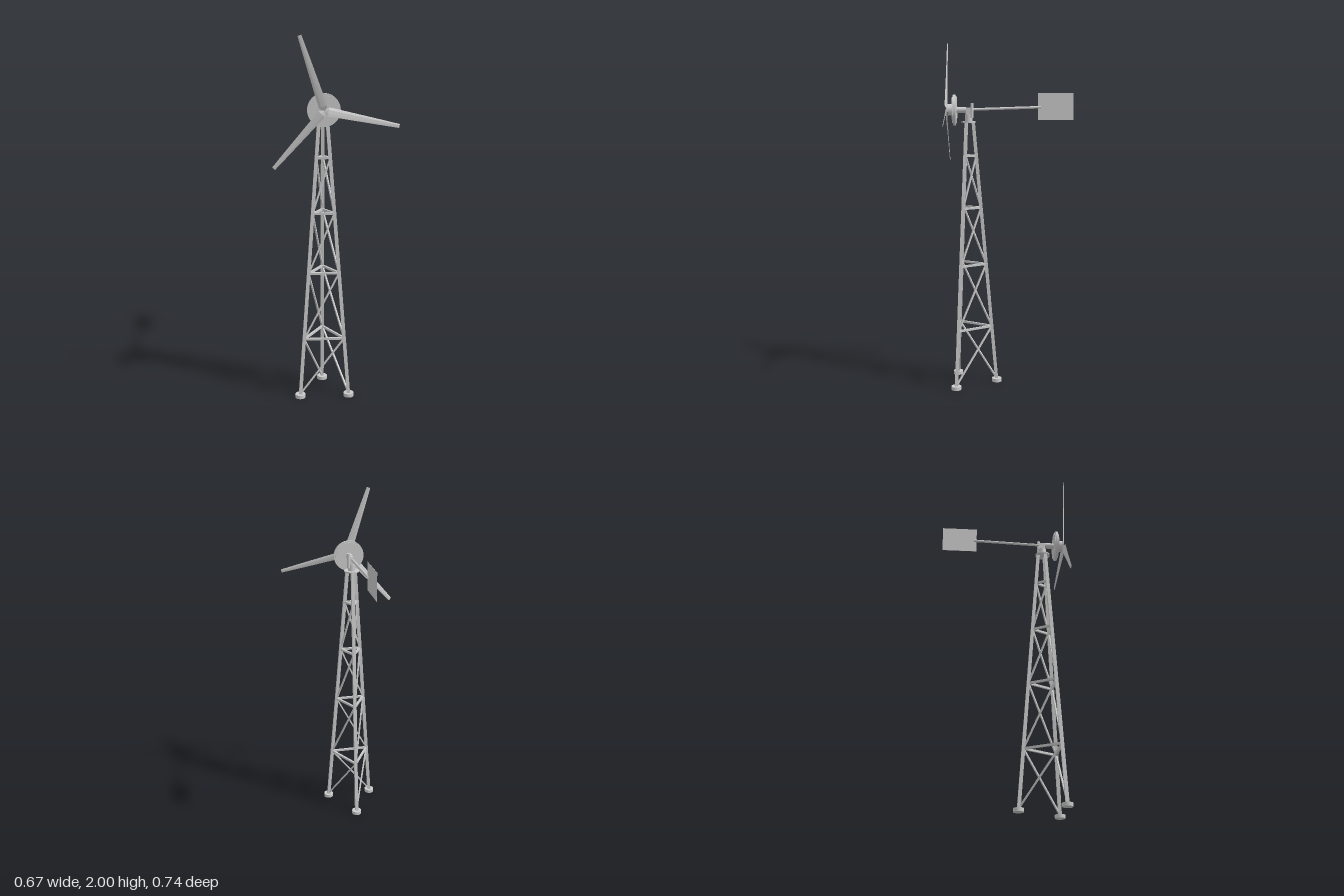
import * as THREE from 'three';

const CX = -0.061, CZ = 0.232, HUB_Y = 1.62;

export function createModel() {
  const model = new THREE.Group();
  model.name = 'windTurbine';
  const mat = new THREE.MeshStandardMaterial({ color: 0xcccccc, flatShading: true });
  const smooth = new THREE.MeshStandardMaterial({ color: 0xcccccc });
  const V = (x, y, z) => new THREE.Vector3(x, y, z);

  const add = (name, geo, x, y, z, parent = model, material = mat) => {
    const m = new THREE.Mesh(geo, material);
    m.name = name;
    m.position.set(x, y, z);
    parent.add(m);
    return m;
  };
  // square bar between two points
  const bar = (name, a, b, size, parent, up = V(0, 1, 0)) => {
    const m = add(name, new THREE.BoxGeometry(size, size, a.distanceTo(b)), 0, 0, 0, parent);
    m.up.copy(up);
    m.position.copy(a).add(b).multiplyScalar(0.5);
    m.lookAt(b);
  };
  // round part lying along z, from z0 to z1
  const drum = (name, r, z0, z1, parent) => {
    const g = new THREE.CylinderGeometry(r, r, z1 - z0, 40).rotateX(Math.PI / 2);
    add(name, g, CX, HUB_Y, (z0 + z1) / 2, parent, smooth);
  };

  // lattice tower on three legs
  const tower = new THREE.Group();
  tower.name = 'tower';
  model.add(tower);
  const TOP = 1.555, R0 = 0.158, R1 = 0.026;
  const angles = [30, 150, 270].map(THREE.MathUtils.degToRad);
  const legAt = (i, y) => {
    const r = R0 + (R1 - R0) * y / TOP, a = angles[i % 3];
    return V(CX + r * Math.cos(a), y, CZ + r * Math.sin(a));
  };
  const levels = [0.02, 0.342, 0.72, 1.055, 1.358];
  for (let i = 0; i < 3; i++) {
    const foot = legAt(i, 0);
    add('foot', new THREE.CylinderGeometry(0.029, 0.029, 0.02, 24), foot.x, 0.01, foot.z, tower, smooth);
    bar('leg', legAt(i, 0.01), legAt(i, TOP), 0.019, tower, V(0, 0, 1));
    levels.forEach((y, k) => {
      if (k > 0) bar('ringBar', legAt(i, y), legAt(i + 1, y), 0.012, tower);
      // one diagonal per face and panel, all climbing the same way round
      if (k < levels.length - 1) bar('diagonalBrace', legAt(i + 1, y), legAt(i, levels[k + 1]), 0.009, tower);
    });
  }
  add('topPlate', new THREE.CylinderGeometry(0.043, 0.043, 0.007, 32), CX, 1.551, CZ, model, smooth);

  // yaw head and generator
  const head = new THREE.Group();
  head.name = 'head';
  model.add(head);
  add('yawTube', new THREE.CylinderGeometry(0.021, 0.021, 0.04, 24), CX, 1.573, CZ, head, smooth);
  add('bracket', new THREE.BoxGeometry(0.016, 0.045, 0.036), CX, 1.612, CZ - 0.002, head);
  add('hingePost', new THREE.CylinderGeometry(0.009, 0.009, 0.085, 16), CX + 0.022, 1.617, 0.212, head, smooth);
  add('hingeLug', new THREE.BoxGeometry(0.024, 0.03, 0.012), CX + 0.011, 1.615, 0.212, head);
  drum('shaftHousing', 0.017, 0.247, 0.3, head);
  drum('rearMagnetDisc', 0.079, 0.3, 0.304, head);
  drum('stator', 0.088, 0.306, 0.32, head);
  drum('frontMagnetDisc', 0.074, 0.322, 0.326, head);
  drum('generatorCore', 0.03, 0.302, 0.328, head);
  drum('hub', 0.033, 0.326, 0.352, head);

  // three tapered blades: lens sections at [radius, chord, pitch, thickness], rear edge kept in one plane
  const sections = [
    [0.0, 0.008, 0.3, 0.004], [0.022, 0.048, 0.3, 0.006], [0.1, 0.043, 0.27, 0.005],
    [0.2, 0.036, 0.23, 0.004], [0.3, 0.029, 0.2, 0.004], [0.4, 0.021, 0.17, 0.003],
  ];
  const outline = [[-0.5, 0], [-0.2, 0.5], [0.2, 0.35], [0.5, 0], [0.2, -0.35], [-0.2, -0.5]];
  const pos = [], idx = [], n = outline.length;
  sections.forEach(([r, chord, pitch, t], s) => {
    const c = Math.cos(pitch), q = Math.sin(pitch);
    for (const [u, v] of outline) {
      const x = u * chord, z = v * t;
      pos.push(x * c - z * q, r, (x + chord / 2) * q + z * c);
    }
    if (s === 0) return;
    for (let j = 0; j < n; j++) {
      const a = (s - 1) * n + j, b = (s - 1) * n + (j + 1) % n;
      idx.push(a, b, a + n, b, b + n, a + n);
    }
  });
  const end = (sections.length - 1) * n;
  for (let j = 1; j < n - 1; j++) idx.push(end, end + j, end + j + 1, 0, j + 1, j);
  const bladeGeo = new THREE.BufferGeometry();
  bladeGeo.setAttribute('position', new THREE.Float32BufferAttribute(pos, 3));
  bladeGeo.setIndex(idx);
  bladeGeo.computeVertexNormals();
  const bladeMat = new THREE.MeshStandardMaterial({ color: 0xcccccc, side: THREE.DoubleSide, flatShading: true });
  const rotor = new THREE.Group();
  rotor.name = 'rotor';
  rotor.position.set(CX, HUB_Y, 0.354);
  model.add(rotor);
  for (let i = 0; i < 3; i++) {
    const blade = add('blade', bladeGeo, 0, 0, 0, rotor, bladeMat);
    blade.rotation.z = THREE.MathUtils.degToRad(18.3 + i * 120);
  }

  // tail boom and vane
  const a = V(CX, 1.622, 0.212), b = V(CX, 1.635, -0.183);
  const boom = add('tailBoom', new THREE.CylinderGeometry(0.0075, 0.0075, a.distanceTo(b), 16), 0, 0, 0, model, smooth);
  boom.position.copy(a).add(b).multiplyScalar(0.5);
  boom.quaternion.setFromUnitVectors(V(0, 1, 0), b.clone().sub(a).normalize());
  add('tailVane', new THREE.BoxGeometry(0.001, 0.154, 0.204), CX, 1.638, -0.268);

  return model;
}
